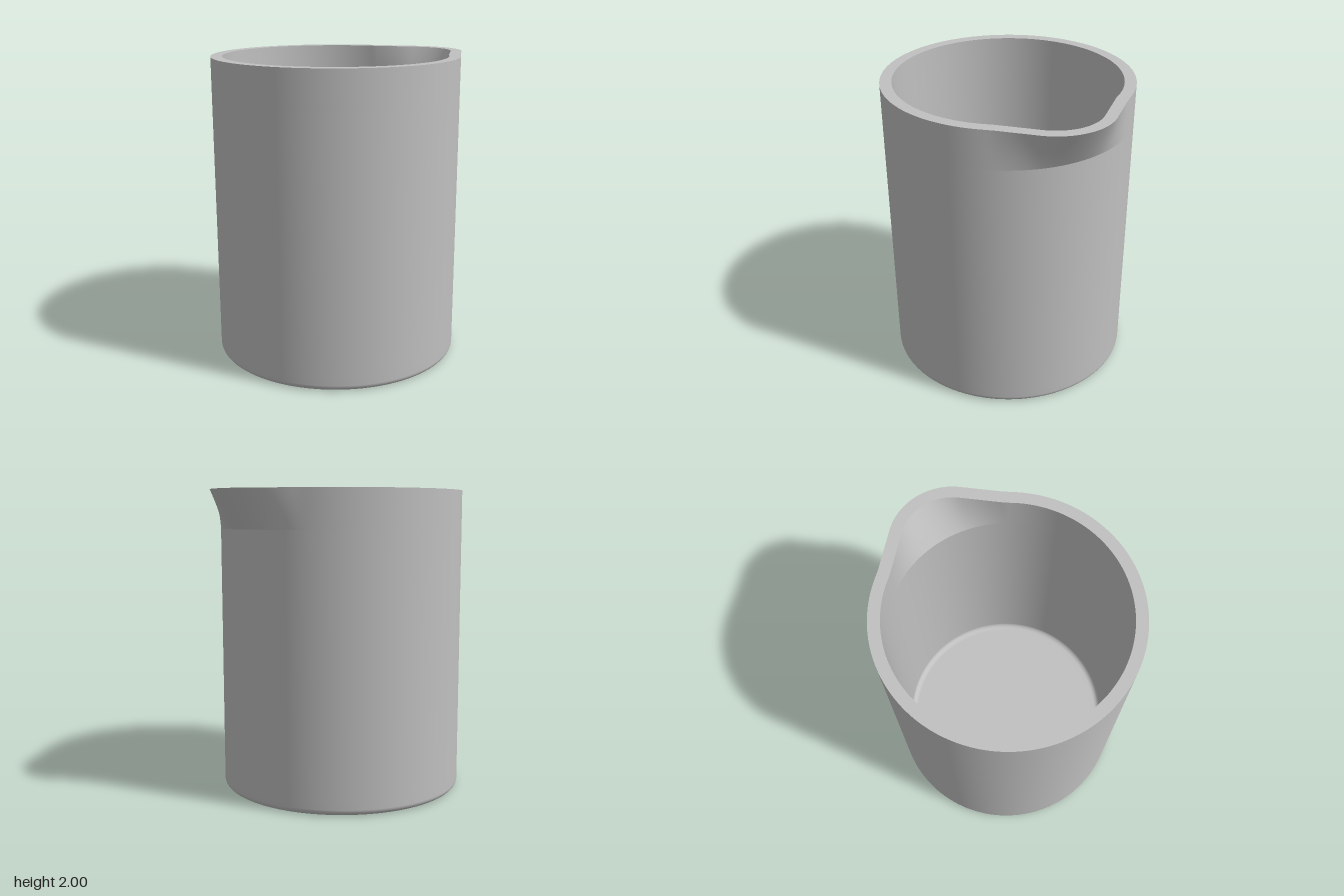
import * as THREE from 'three';
import { mergeVertices } from 'three/addons/utils/BufferGeometryUtils.js';

const OUTER = 0.81, INNER = 0.735, HEIGHT = 2, FLOOR = 0.075;
const SPOUT_BASE = 1.75, FILLET = 0.04, SEGMENTS = 240;

// Radius of the rim outline at an angle from the spout axis: a round nose with
// straight flanks tangent to it, running into the circular wall.
function rimRadius(wall, angle) {
  const t = Math.abs(angle), flank = 0.744, centre = 0.575;
  const nose = 0.38 - (OUTER - wall);
  if (t > flank) return wall;
  const contact = Math.atan2(nose * Math.sin(flank), centre + nose * Math.cos(flank));
  if (t < contact) {
    return centre * Math.cos(t) + Math.sqrt(nose ** 2 - (centre * Math.sin(t)) ** 2);
  }
  const line = (centre * Math.cos(flank) + nose) / Math.cos(t - flank);
  // soft junction outside, sharp corner inside
  const k = wall === OUTER ? 0.007 : 0.0005;
  const h = Math.max(k - Math.abs(line - wall), 0) / k;
  return Math.max(line, wall) + h * h * k / 4;
}

// Quarter-round profile points between two angles
function arc(cx, cy, r, from, to, steps = 8) {
  return Array.from({ length: steps + 1 }, (_, i) => {
    const a = from + (to - from) * i / steps;
    return [cx + r * Math.cos(a), cy + r * Math.sin(a)];
  });
}

// Lathed surface whose upper part is drawn out into the spout
function surface(name, profile, material) {
  const points = profile.map(([r, y]) => new THREE.Vector2(Math.max(r, 0), y));
  let geometry = new THREE.LatheGeometry(points, SEGMENTS, -Math.PI / 2);
  const p = geometry.attributes.position;
  for (let i = 0; i < p.count; i++) {
    const x = p.getX(i), y = p.getY(i), z = p.getZ(i);
    if (y <= SPOUT_BASE) continue;
    const radius = Math.hypot(x, z);
    const wall = Math.abs(radius - OUTER) < 0.001 ? OUTER : INNER;
    const blend = (y - SPOUT_BASE) / (HEIGHT - SPOUT_BASE);
    const scale = 1 + (rimRadius(wall, Math.atan2(z, x)) / wall - 1) * blend;
    p.setXYZ(i, x * scale, y, z * scale);
  }
  geometry.deleteAttribute('uv');
  geometry.deleteAttribute('normal');
  geometry = mergeVertices(geometry, 1e-5);
  geometry.computeVertexNormals();
  const mesh = new THREE.Mesh(geometry, material);
  mesh.name = name;
  return mesh;
}

export function createModel() {
  const grey = new THREE.MeshStandardMaterial({ color: 0xc0c0c0 });
  grey.name = 'grey';
  const beaker = new THREE.Group();
  beaker.name = 'beaker';

  const bands = [SPOUT_BASE, 1.8125, 1.875, 1.9375, HEIGHT];
  const outerFoot = arc(OUTER - FILLET, FILLET, FILLET, -Math.PI / 2, 0);
  const innerFoot = arc(INNER - FILLET, FLOOR + FILLET, FILLET, 0, -Math.PI / 2);

  beaker.add(
    // base and outside wall with a rounded foot
    surface('outerWall', [[0, 0], [0.74, 0], ...outerFoot, [OUTER, 0.1], [OUTER, SPOUT_BASE]], grey),
    // upper outside band carrying the pouring lip
    surface('outerSpout', bands.map(y => [OUTER, y]), grey),
    // flat rim
    surface('rim', [[OUTER, HEIGHT], [INNER, HEIGHT]], grey),
    // upper inside band
    surface('innerSpout', bands.slice().reverse().map(y => [INNER, y]), grey),
    // inside wall and floor
    surface('innerWall', [[INNER, SPOUT_BASE], [INNER, 0.17], ...innerFoot, [0.66, FLOOR], [0, FLOOR]], grey)
  );

  // the lip counts toward the width, so the body sits off-centre
  beaker.position.x = -0.0725;
  const model = new THREE.Group();
  model.name = 'pouringBeaker';
  model.add(beaker);
  return model;
}
